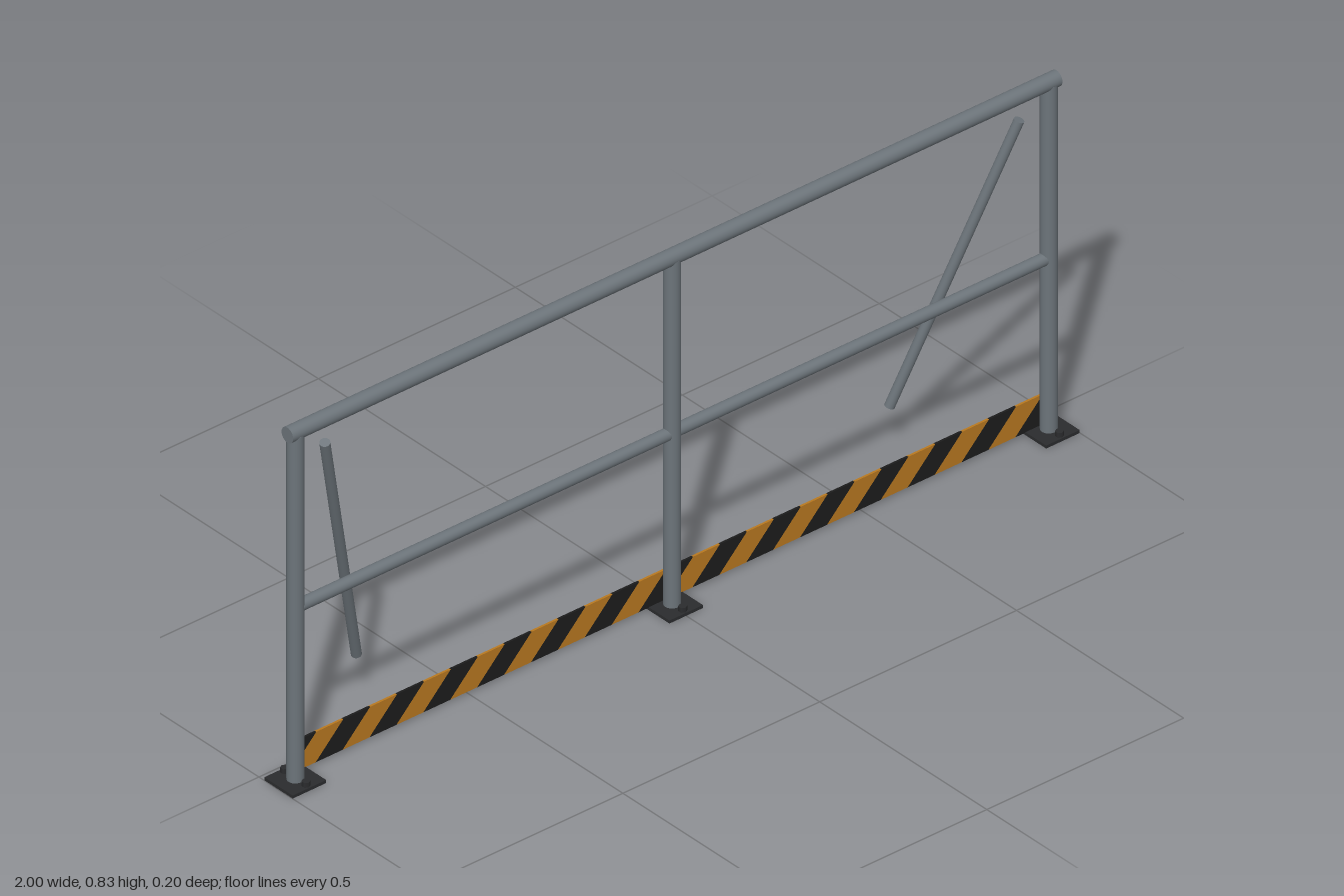
import * as THREE from 'three';

const Z = 0.058; // plane of the posts and rails

export function createModel() {
  const mat = (name, color, side = THREE.FrontSide) => {
    const m = new THREE.MeshStandardMaterial({ color, side });
    m.name = name;
    return m;
  };
  const steel = mat('steel grey', 0x6c747a);
  const dark = mat('dark base metal', 0x2b2c2e);
  const amber = mat('warning amber', 0xb87820);
  const black = mat('warning black', 0x1c1c1c);

  const model = new THREE.Group();
  model.name = 'guardRail';

  const add = (name, geometry, material, parent = model) => {
    const mesh = new THREE.Mesh(geometry, material);
    mesh.name = name;
    parent.add(mesh);
    return mesh;
  };

  // Round tube between two points
  const tube = (name, a, b, radius) => {
    const from = new THREE.Vector3(...a);
    const to = new THREE.Vector3(...b);
    const dir = to.clone().sub(from);
    const mesh = add(name, new THREE.CylinderGeometry(radius, radius, dir.length(), 24), steel);
    mesh.position.copy(from).add(to).multiplyScalar(0.5);
    mesh.quaternion.setFromUnitVectors(new THREE.Vector3(0, 1, 0), dir.normalize());
  };

  // Rails
  tube('topRail', [-0.977, 0.81, Z], [0.977, 0.81, Z], 0.0175);
  tube('middleRail', [-0.957, 0.404, Z], [0.957, 0.404, Z], 0.0135);

  // Posts with bolted foot plates
  for (const [side, x] of [['right', -0.957], ['middle', 0], ['left', 0.957]]) {
    tube(side + 'Post', [x, 0.004, Z], [x, 0.806, Z], 0.0175);
    const foot = new THREE.Group();
    foot.name = side + 'Foot';
    foot.position.set(x, 0, Z);
    model.add(foot);
    add('footPlate', new THREE.BoxGeometry(0.085, 0.007, 0.085), dark, foot).position.y = 0.0035;
    for (const s of [-1, 1]) {
      add('bolt', new THREE.CylinderGeometry(0.009, 0.009, 0.013, 6).toNonIndexed(), dark, foot)
        .position.set(0, 0.0115, s * 0.032);
    }
  }

  // Slanted braces leaning back and inwards
  for (const [side, s] of [['right', -1], ['left', 1]]) {
    tube(side + 'Brace', [s * 0.882, 0.753, 0.058], [s * 0.677, 0.104, -0.089], 0.0108);
  }

  // Toe board made of slanted stripes, clipped at both ends
  const board = new THREE.Group();
  board.name = 'toeBoard';
  board.position.z = 0.0335;
  model.add(board);
  const half = 0.957, y0 = 0.006, y1 = 0.076;
  const rise = y1 - y0;
  const pitch = half / 14;
  for (let i = -1; i < 28; i++) {
    const a = -half + i * pitch;
    const b = a + pitch;
    // Corners of the leaning stripe, with cuts where it meets an end
    const pts = [];
    const edge = (x, up) => {
      const lo = [x, y0], hi = [x + rise, y1];
      if (x < -half) lo.splice(0, 2, -half, y0 + (-half - x));
      if (x + rise > half) hi.splice(0, 2, half, y0 + Math.max(0, half - x));
      pts.push(...(up ? [lo, hi] : [hi, lo]));
    };
    edge(b, true);
    if (b + rise > half && a + rise < half) pts.push([half, y1]);
    edge(a, false);
    if (a < -half && b > -half) pts.push([-half, y0]);
    const clean = pts
      .map(([x, y]) => new THREE.Vector2(THREE.MathUtils.clamp(x, -half, half), THREE.MathUtils.clamp(y, y0, y1)))
      .filter((p, k, all) => all.findIndex(q => q.distanceTo(p) < 1e-4) === k);
    if (clean.length < 3) continue;
    const geo = new THREE.ExtrudeGeometry(new THREE.Shape(clean), { depth: 0.005, bevelEnabled: false });
    add('stripe', geo, i % 2 === 0 ? amber : black, board);
  }
  return model;
}
